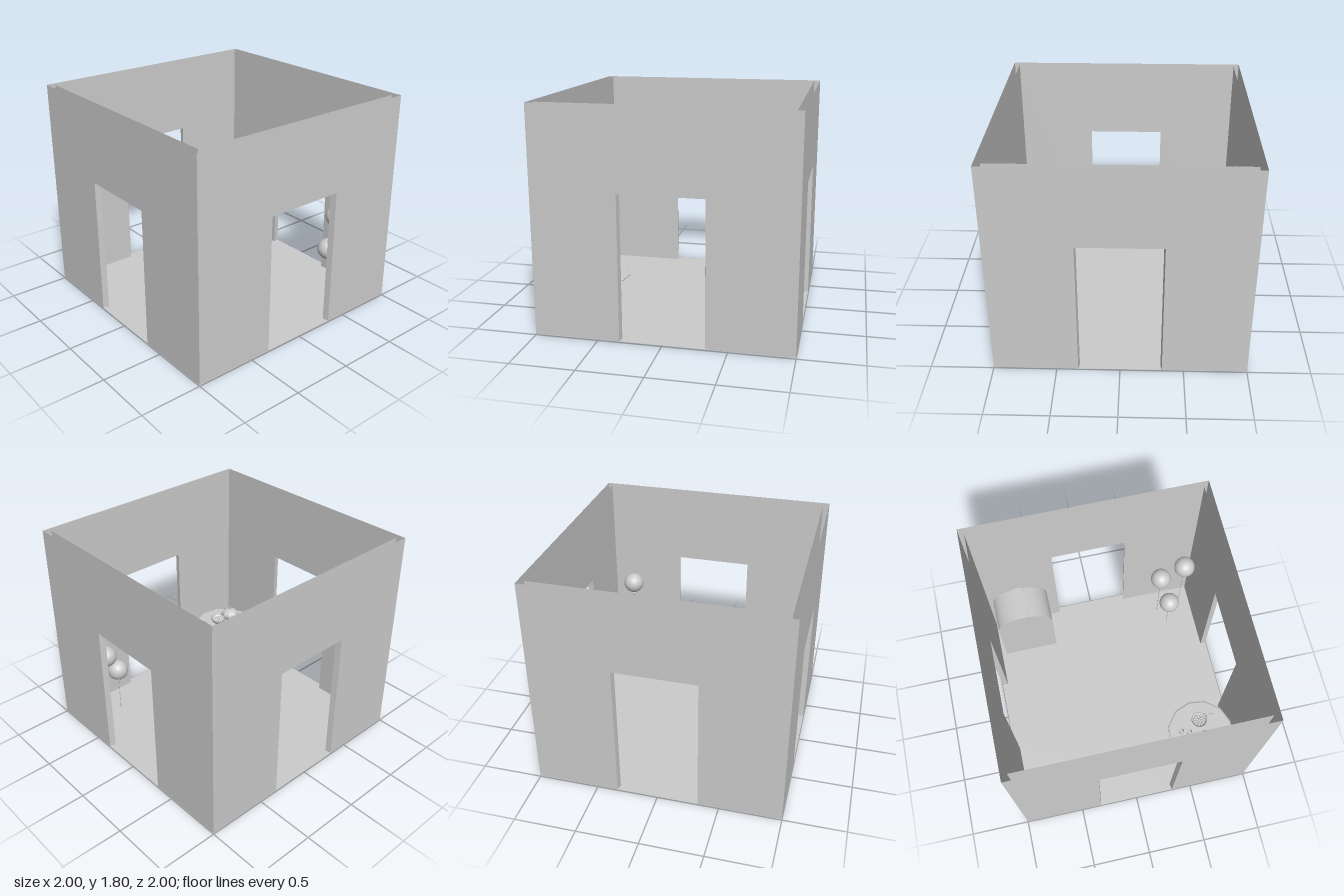
import * as THREE from 'three';
import { toCreasedNormals } from 'three/addons/utils/BufferGeometryUtils.js';

const grey = new THREE.MeshStandardMaterial({ color: 0xcccccc, side: THREE.DoubleSide });
const FLOOR = 0.01, TOP = 1.8, DOOR = 1.155, IN = 0.95;

function add(parent, name, geometry, x = 0, y = 0, z = 0) {
  const mesh = new THREE.Mesh(geometry, grey);
  mesh.name = name;
  mesh.position.set(x, y, z);
  parent.add(mesh);
  return mesh;
}

function group(parent, name, x = 0, y = 0, z = 0) {
  const g = new THREE.Group();
  g.name = name;
  g.position.set(x, y, z);
  parent.add(g);
  return g;
}

const points = (list) => list.map(([x, y]) => new THREE.Vector2(x, y));
const lathe = (list, sides) => new THREE.LatheGeometry(points(list), sides);

// Wall outline with a doorway cut up from the bottom edge
function wallPanel(half, door) {
  return new THREE.ShapeGeometry(new THREE.Shape(points([
    [-half, FLOOR], [-door, FLOOR], [-door, DOOR], [door, DOOR],
    [door, FLOOR], [half, FLOOR], [half, TOP], [-half, TOP],
  ])));
}

function quad(corners) {
  const g = new THREE.BufferGeometry();
  g.setAttribute('position', new THREE.Float32BufferAttribute(corners.flat(), 3));
  g.setIndex([0, 1, 2, 0, 2, 3]);
  g.computeVertexNormals();
  return g;
}

// Hollow wall: outer and inner skins joined around the splayed doorway
function buildWall(parent, angle) {
  const wall = group(parent, 'wall');
  wall.rotation.y = angle;
  add(wall, 'outerWall', wallPanel(1, 0.33), 0, 0, 1);
  add(wall, 'innerWall', wallPanel(IN, 0.32).rotateY(Math.PI), 0, 0, IN);
  add(wall, 'leftJamb', quad([[0.33, FLOOR, 1], [0.33, DOOR, 1], [0.32, DOOR, IN], [0.32, FLOOR, IN]]));
  add(wall, 'rightJamb', quad([[-0.33, FLOOR, 1], [-0.32, FLOOR, IN], [-0.32, DOOR, IN], [-0.33, DOOR, 1]]));
  add(wall, 'lintel', quad([[-0.33, DOOR, 1], [-0.32, DOOR, IN], [0.32, DOOR, IN], [0.33, DOOR, 1]]));
}

// Floor with a threshold tab in each doorway
function buildFloor(parent) {
  const outline = [];
  for (let i = 0; i < 4; i++) {
    for (const [x, y] of [[-IN, -IN], [-0.32, -IN], [-0.33, -1], [0.33, -1], [0.32, -IN]]) {
      outline.push(new THREE.Vector2(x, y).rotateAround(new THREE.Vector2(), i * Math.PI / 2));
    }
  }
  add(parent, 'floor', new THREE.ShapeGeometry(new THREE.Shape(outline)).rotateX(-Math.PI / 2), 0, FLOOR, 0);
}

function buildTable(parent) {
  const table = group(parent, 'table', -0.628, 0, 0.652);
  const slab = toCreasedNormals(lathe([
    [0, 0.395], [0.265, 0.395], [0.286, 0.403], [0.286, 0.414], [0.272, 0.422], [0, 0.422],
  ], 12), 0.4);
  add(table, 'tableTop', slab).rotation.y = 0.12;

  // Four curved legs
  const curve = new THREE.CatmullRomCurve3([
    [0.075, 0.4], [0.03, 0.33], [0.024, 0.24], [0.07, 0.165], [0.155, 0.11], [0.19, 0.045], [0.207, 0.012],
  ].map(([r, y]) => new THREE.Vector3(r, y, 0)));
  const legShape = new THREE.TubeGeometry(curve, 24, 0.014, 8);
  for (let i = 0; i < 4; i++) {
    const leg = group(table, 'leg', -0.005, 0, 0.008);
    leg.rotation.y = -0.7 + i * Math.PI / 2;
    add(leg, 'legTube', legShape);
    add(leg, 'foot', new THREE.CylinderGeometry(0.016, 0.018, 0.025, 8), 0.207, 0.0125, 0);
  }
  add(table, 'legCollar', new THREE.CylinderGeometry(0.03, 0.03, 0.025, 12), 0, 0.25, 0);

  buildPumpkin(table);
  buildBowl(table);

  // Cups
  const cup = lathe([[0, 0], [0.019, 0], [0.024, 0.055], [0.018, 0.055], [0.015, 0.008], [0, 0.008]], 14);
  for (const [x, z] of [[-0.117, -0.152], [0.032, -0.165], [0.008, -0.097]]) {
    add(table, 'cup', toCreasedNormals(cup, 0.6), x, 0.422, z);
  }

  // Wrapped sweets
  for (const [x, z, turn] of [[0.142, 0.083, 0.3], [0.132, 0.125, 1.3]]) {
    const sweet = group(table, 'sweet', x, 0.432, z);
    sweet.rotation.y = turn;
    add(sweet, 'sweetCentre', new THREE.SphereGeometry(0.01, 10, 8));
    for (const s of [-1, 1]) {
      add(sweet, 'wrapperEnd', new THREE.ConeGeometry(0.009, 0.014, 8), s * 0.014, 0, 0).rotation.z = s * Math.PI / 2;
    }
  }
}

// Squat ribbed pumpkin with a stem
function buildPumpkin(table) {
  const pumpkin = group(table, 'pumpkin', -0.09, 0.422, 0.025);
  const body = new THREE.SphereGeometry(1, 32, 14);
  const p = body.attributes.position;
  for (let i = 0; i < p.count; i++) {
    const rib = 0.078 + 0.005 * Math.cos(8 * Math.atan2(p.getZ(i), p.getX(i)));
    p.setXYZ(i, p.getX(i) * rib, p.getY(i) * 0.055 + 0.055, p.getZ(i) * rib);
  }
  body.computeVertexNormals();
  add(pumpkin, 'pumpkinBody', body);
  add(pumpkin, 'stem', new THREE.CylinderGeometry(0.006, 0.01, 0.03, 8), 0, 0.118, 0);
}

// Footed bowl heaped with small balls
function buildBowl(table) {
  const bowl = group(table, 'bowl', 0.085, 0.422, 0.003);
  add(bowl, 'bowlShell', lathe([
    [0, 0], [0.035, 0], [0.032, 0.007], [0.011, 0.014], [0.011, 0.03], [0.04, 0.045],
    [0.061, 0.066], [0.068, 0.088], [0.063, 0.088], [0.052, 0.068], [0.03, 0.052], [0, 0.048],
  ], 24));
  const ball = new THREE.SphereGeometry(0.012, 10, 8);
  add(bowl, 'treat', ball, 0, 0.078, 0);
  for (const [count, r, y] of [[6, 0.022, 0.075], [11, 0.041, 0.073]]) {
    for (let i = 0; i < count; i++) {
      const a = i / count * Math.PI * 2;
      add(bowl, 'treat', ball, r * Math.cos(a), y, r * Math.sin(a));
    }
  }
}

// Balloons at three heights, each on a string
function buildBalloons(parent) {
  for (const [x, y, z] of [[0.626, 0.45, 0.682], [0.77, 0.69, 0.623], [0.738, 0.9, 0.816]]) {
    const balloon = group(parent, 'balloon', x, 0, z);
    add(balloon, 'balloonBody', new THREE.SphereGeometry(0.09, 32, 20), 0, y, 0);
    add(balloon, 'knot', new THREE.ConeGeometry(0.012, 0.02, 10), 0, y - 0.095, 0);
    add(balloon, 'string', new THREE.CylinderGeometry(0.003, 0.003, y - 0.1, 6), 0, (y - 0.1) / 2 + 0.002, 0);
  }
}

// Arched slab running along x, rounded over its top
function archSlab(half, spring, rise, depth) {
  const s = new THREE.Shape();
  s.moveTo(-half, 0);
  s.lineTo(half, 0);
  s.lineTo(half, spring);
  s.absellipse(0, spring, half, rise, 0, Math.PI, false);
  s.lineTo(-half, 0);
  const g = new THREE.ExtrudeGeometry(s, { depth, bevelEnabled: false, curveSegments: 32 });
  return toCreasedNormals(g.rotateY(Math.PI / 2), 0.6);
}

// Round-topped cabinet with a raised centre band
function buildCabinet(parent) {
  const cabinet = group(parent, 'cabinet', 0, FLOOR, -0.66);
  add(cabinet, 'cabinetBody', archSlab(0.245, 0.565, 0.18, 0.29), 0.63, 0, 0);
  add(cabinet, 'centreBand', new THREE.BoxGeometry(0.3, 0.06, 0.075), 0.77, 0.735, -0.002);
}

export function createModel() {
  const model = new THREE.Group();
  model.name = 'partyRoom';
  buildFloor(model);
  for (let i = 0; i < 4; i++) buildWall(model, i * Math.PI / 2);
  buildTable(model);
  buildBalloons(model);
  buildCabinet(model);
  return model;
}
